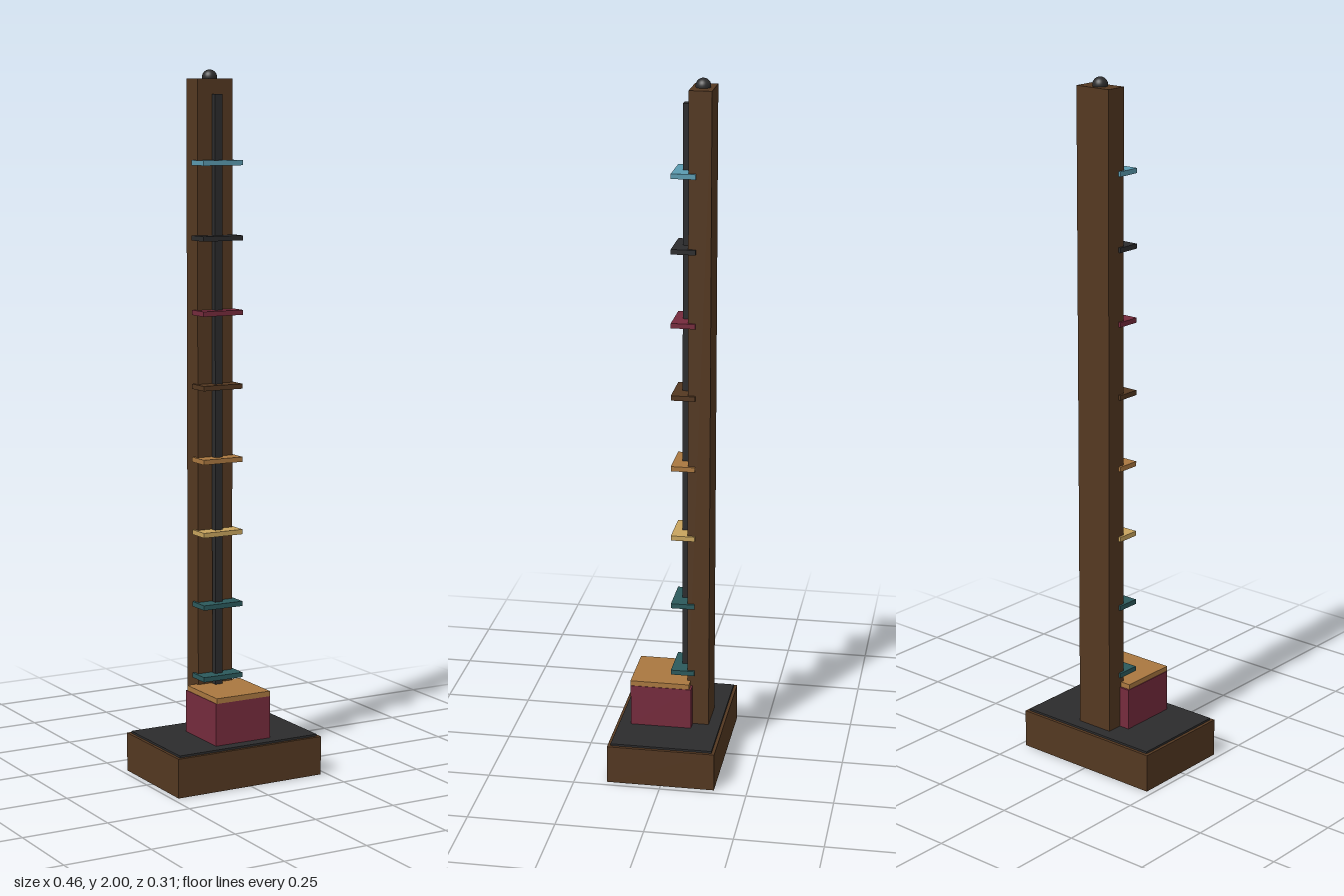
import * as THREE from 'three';

const mat = (name, color) => {
  const m = new THREE.MeshStandardMaterial({ color });
  m.name = name;
  return m;
};

export function createModel() {
  const model = new THREE.Group();
  model.name = 'shelfTower';

  const brown = mat('dark wood', 0x543821);
  const charcoal = mat('charcoal', 0x2c2c2d);
  const maroon = mat('maroon', 0x762b3d);
  const amber = mat('amber wood', 0xaa7840);
  const sand = mat('sand', 0xc8a45e);
  const teal = mat('teal', 0x2c5a5c);
  const blue = mat('sky blue', 0x5b9bb0);

  // Box given by its minimum and maximum on each axis
  const box = (name, material, [x0, x1], [y0, y1], [z0, z1]) => {
    const mesh = new THREE.Mesh(new THREE.BoxGeometry(x1 - x0, y1 - y0, z1 - z0), material);
    mesh.position.set((x0 + x1) / 2, (y0 + y1) / 2, (z0 + z1) / 2);
    mesh.name = name;
    model.add(mesh);
    return mesh;
  };

  // Plinth with a dark inset top
  box('base', brown, [-0.232, 0.232], [0, 0.112], [-0.155, 0.155]);
  box('baseTop', charcoal, [-0.223, 0.223], [0.11, 0.118], [-0.146, 0.146]);

  // Upright post with a ball on top
  box('post', brown, [-0.056, 0.056], [0.115, 1.975], [-0.112, -0.049]);
  const ball = new THREE.Mesh(new THREE.SphereGeometry(0.021, 32, 20), charcoal);
  ball.position.set(0, 1.979, -0.08);
  ball.name = 'finial';
  model.add(ball);

  // Rail in front of the post
  box('rail', charcoal, [-0.012, 0.012], [0.24, 1.932], [-0.045, -0.027]);

  // Block with a lid at the foot
  box('block', maroon, [-0.088, 0.088], [0.118, 0.24], [-0.065, 0.112]);
  box('blockLid', amber, [-0.0865, 0.0865], [0.24, 0.255], [-0.059, 0.113]);

  // Evenly spaced shelves, bottom to top
  [teal, teal, sand, amber, brown, maroon, charcoal, blue].forEach((material, i) => {
    const y = 0.28 + i * 0.209;
    box('shelf' + (i + 1), material, [-0.063, 0.063], [y - 0.007, y + 0.007], [-0.07, -0.002]);
  });

  return model;
}
